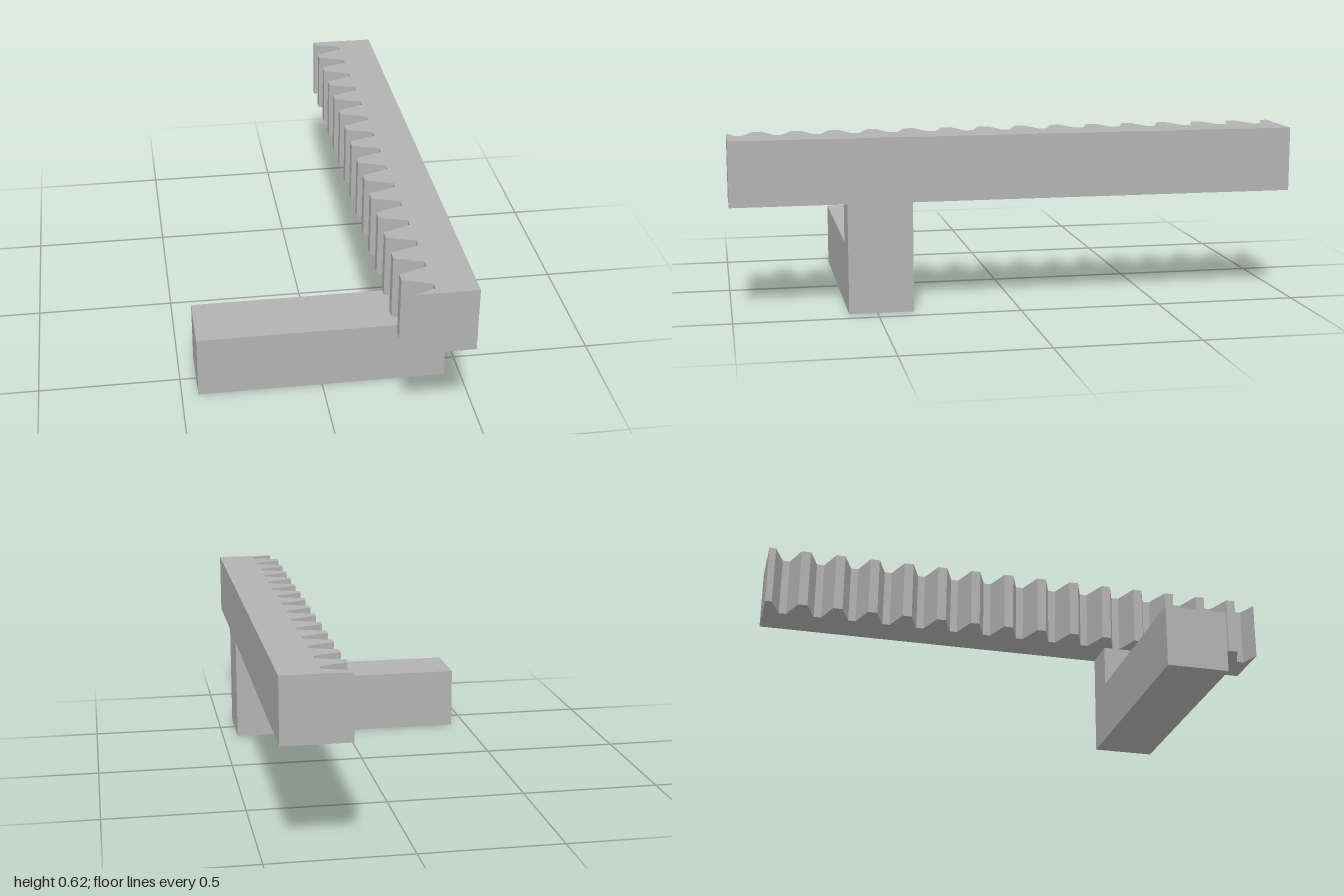
import * as THREE from 'three';

export function createModel() {
  const model = new THREE.Group();
  const grey = new THREE.MeshStandardMaterial({ color: 0xb2b2b2 });
  grey.name = 'plain grey';

  function addExtrusion(name, points, depth) {
    const shape = new THREE.Shape(points.map(([x, y]) => new THREE.Vector2(x, y)));
    const geometry = new THREE.ExtrudeGeometry(shape, { depth, bevelEnabled: false });
    const mesh = new THREE.Mesh(geometry, grey);
    mesh.name = name;
    model.add(mesh);
    return mesh;
  }

  // Toothed rack: plan outline, with shape y running along -z
  const back = 0.442, root = 0.301, tip = 0.204;
  const pitch = 0.1345, firstGap = -0.925, gaps = 15;
  const halfRoot = 0.0142, flank = 0.0353;
  const outline = [[back, 1], [tip, 1]];
  for (let i = 0; i < gaps; i++) {
    const z = firstGap + i * pitch;
    outline.push([tip, -(z - halfRoot - flank)], [root, -(z - halfRoot)], [root, -(z + halfRoot)]);
    // The last tooth is cut off partway up its flank
    if (i < gaps - 1) outline.push([tip, -(z + halfRoot + flank)]);
  }
  outline.push([0.225, -1], [back, -1]);
  const rack = addExtrusion('toothedRack', outline, 0.228);
  rack.rotation.x = -Math.PI / 2;
  rack.position.y = 0.388;

  // L-shaped arm and post carrying the rack
  const bracket = addExtrusion('supportArm', [
    [-0.442, 0], [back, 0], [back, 0.388], [root, 0.388], [root, 0.229], [-0.442, 0.229],
  ], 0.227);
  bracket.position.z = 0.372;

  return model;
}
